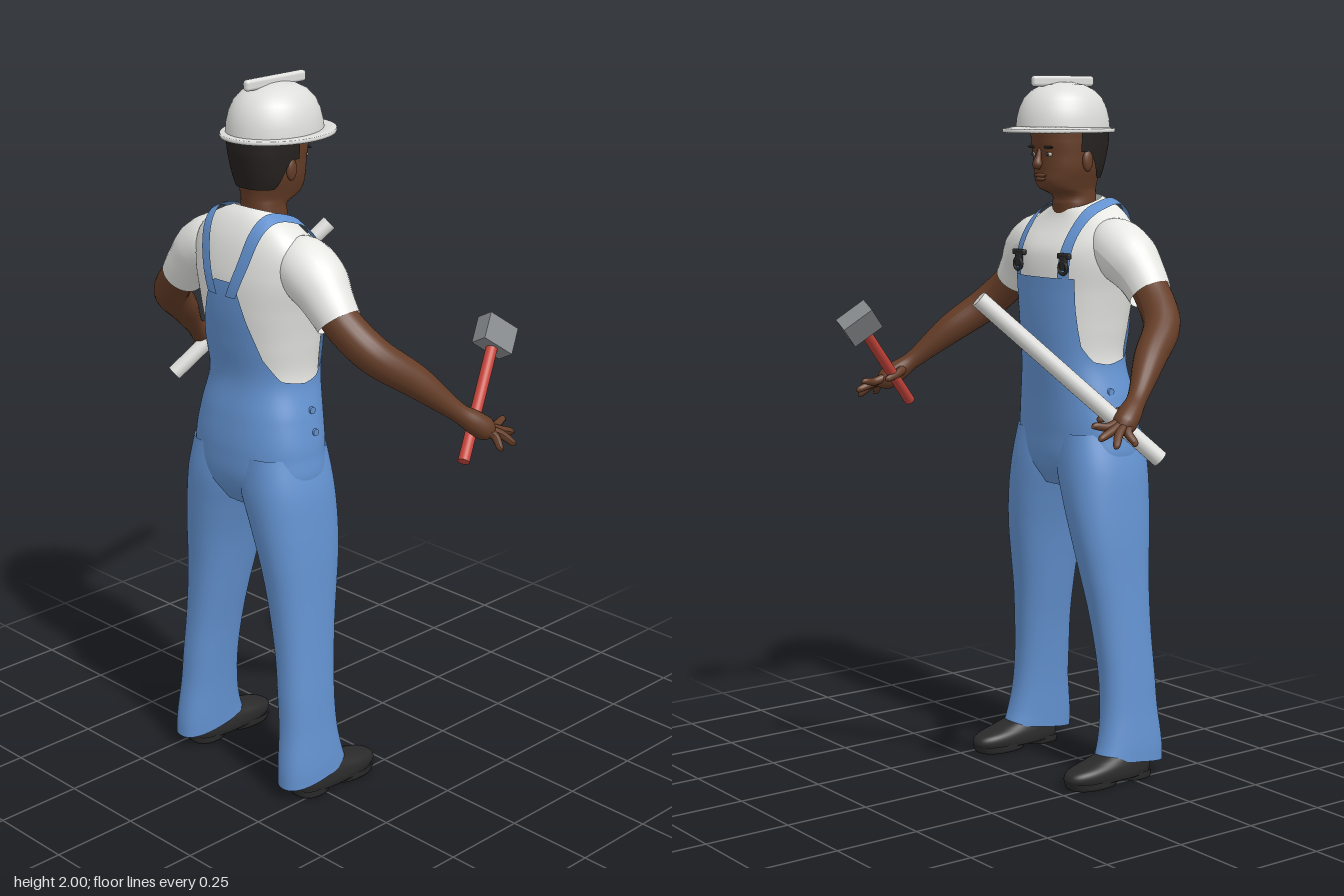
import * as THREE from 'three';
import { ParametricGeometry } from 'three/addons/geometries/ParametricGeometry.js';
import { RoundedBoxGeometry } from 'three/addons/geometries/RoundedBoxGeometry.js';

const V = (x, y, z) => new THREE.Vector3(x, y, z);
const smooth = THREE.MathUtils.smoothstep;
const paint = (name, color, side = THREE.FrontSide) => {
  const m = new THREE.MeshStandardMaterial({ color, side });
  m.name = name;
  return m;
};

// Smooth lookup in a table whose rows are [key, ...values]
function lookup(rows) {
  const n = rows[0].length - 1;
  const cubic = new THREE.CubicInterpolant(rows.map(r => r[0]), rows.flatMap(r => r.slice(1)), n);
  return k => Array.from(cubic.evaluate(k));
}

// Body surface through sections [y, xBack, xFront, zMin, zMax]; angle 0 is the chest side
const POWER = 2.4;
const bulge = c => Math.sign(c) * Math.abs(c) ** (2 / POWER);
function body(rows, slope = () => 0) {
  const at = lookup(rows);
  return (angle, y, grow, target) => {
    const [xb, xf, z0, z1] = at(y);
    const x = (xb + xf) / 2 + ((xf - xb) / 2 + grow) * bulge(Math.cos(angle));
    const z = (z0 + z1) / 2 - ((z1 - z0) / 2 + grow) * bulge(Math.sin(angle));
    return target.set(x, y + slope(y) * (x + 0.24), z);
  };
}
// Skin over a body surface between two heights, optionally closed below
function loft(surface, low, high, { grow = 0, from = -Math.PI, to = Math.PI, cap = false, stacks = 40 } = {}) {
  const geo = new ParametricGeometry((u, v, t) => {
    const a = from + (to - from) * u;
    const row = cap ? Math.max(0, (v * stacks - 1) / (stacks - 1)) : v;
    const y0 = low(a);
    surface(a, y0 + (high(a) - y0) * row, grow, t);
    if (cap && v === 0) {
      const opposite = surface(a + Math.PI, y0, grow, V(0, 0, 0));
      t.add(opposite).multiplyScalar(0.5);
    }
  }, 64, stacks);
  if (cap) geo.computeVertexNormals();
  return geo;
}
const flat = y => () => y;

// Round limb along points [x, y, z, radius]
function limb(points, s = 1, sides = 16, steps = 24) {
  const curve = new THREE.CatmullRomCurve3(points.map(p => V(p[0], p[1], p[2] * s)));
  const geo = new THREE.TubeGeometry(curve, steps, 1, sides);
  const pos = geo.attributes.position, v = V(0, 0, 0);
  const radius = lookup(points.map((p, i) => [i, p[3]]));
  for (let i = 0; i < pos.count; i++) {
    const t = Math.floor(i / (sides + 1)) / steps;
    const centre = curve.getPointAt(t);
    v.fromBufferAttribute(pos, i).sub(centre).multiplyScalar(radius(curve.getUtoTmapping(t) * (points.length - 1))[0]);
    pos.setXYZ(i, centre.x + v.x, centre.y + v.y, centre.z + v.z);
  }
  geo.computeVertexNormals();
  return geo;
}

export function createModel() {
  const man = new THREE.Group();
  man.name = 'worker';
  const skin = paint('brown skin', 0x653d27);
  const shirt = paint('white cotton', 0xe9e9e6, THREE.DoubleSide);
  const denim = paint('blue denim', 0x6392d0, THREE.DoubleSide);
  const shell = paint('helmet white', 0xdededc, THREE.DoubleSide);
  const black = paint('black', 0x2a2a2b);
  const hairPaint = paint('dark hair', 0x25211f, THREE.DoubleSide);
  const red = paint('red', 0xc4443a);
  const steel = paint('grey steel', 0x86898c);
  const eyeWhite = paint('eye white', 0xc9c2ba);
  const add = (name, geo, mat, x = 0, y = 0, z = 0) => {
    const m = new THREE.Mesh(geo, mat);
    m.name = name;
    m.position.set(x, y, z);
    man.add(m);
    return m;
  };
  const blob = (name, mat, x, y, z, rx, ry, rz) =>
    add(name, new THREE.SphereGeometry(1, 20, 14), mat, x, y, z).scale.set(rx, ry, rz);
  const rod = (name, a, b, r, mat) => {
    const m = add(name, new THREE.CylinderGeometry(r, r, a.distanceTo(b), 24), mat);
    m.position.copy(a).lerp(b, 0.5);
    m.quaternion.setFromUnitVectors(V(0, 1, 0), b.clone().sub(a).normalize());
  };

  // Shirt body
  const torsoRows = [
    [0.84, -0.33, -0.16, 0.10], [0.9, -0.368, -0.127, 0.185], [1.0, -0.377, -0.118, 0.192], [1.1, -0.367, -0.112, 0.174],
    [1.2, -0.35, -0.103, 0.15], [1.3, -0.362, -0.098, 0.16], [1.4, -0.372, -0.1, 0.178], [1.5, -0.37, -0.108, 0.2],
    [1.56, -0.355, -0.13, 0.198], [1.6, -0.335, -0.15, 0.165], [1.63, -0.315, -0.165, 0.118], [1.65, -0.298, -0.172, 0.072],
  ].map(([y, b, f, r]) => [y, b, f, -r, r]);
  const torsoSlope = y => -0.3 * smooth(y, 1.5, 1.64);
  const torso = body(torsoRows, torsoSlope);
  add('shirt', loft(torso, flat(1.1), flat(1.65)), shirt);

  // Overalls top: bib in front, low at the sides, rising to a point at the back
  const edge = [[0, 1.44], [40, 1.44], [42, 1.41], [46, 1.34], [56, 1.25], [72, 1.205], [90, 1.195],
    [120, 1.21], [140, 1.27], [158, 1.38], [171, 1.48], [180, 1.48]];
  const bibTop = a => {
    const d = Math.min(180, Math.abs(a) * 180 / Math.PI);
    const i = Math.max(1, edge.findIndex(e => e[0] >= d - 1e-6));
    const [p, q] = [edge[i - 1], edge[i]];
    return p[1] + (q[1] - p[1]) * (d - p[0]) / (q[0] - p[0]);
  };
  add('overallsBody', loft(torso, flat(0.84), bibTop, { grow: 0.007 }), denim);

  // Straps lie on the shirt: search outwards for its surface
  const torsoAt = lookup(torsoRows);
  const inside = (x, y, z) => {
    const h = y - torsoSlope(y) * (x + 0.24);
    if (h > 1.65) return false;
    const [b, f, , r] = torsoAt(h);
    return Math.abs((x - (b + f) / 2) / ((f - b) / 2)) ** POWER + Math.abs(z / r) ** POWER < 1;
  };
  const strapZ = lookup([[0, 0.102], [0.3, 0.108], [0.5, 0.112], [0.75, 0.08], [1, 0.035]]);

  // Trouser leg and shoe sections for the +z side
  const legRows = [
    [0.06, -0.375, -0.15, 0.158, 0.277], [0.1, -0.374, -0.162, 0.156, 0.276], [0.2, -0.36, -0.178, 0.15, 0.267],
    [0.3, -0.355, -0.18, 0.14, 0.26], [0.4, -0.35, -0.172, 0.127, 0.252], [0.5, -0.35, -0.16, 0.108, 0.245],
    [0.6, -0.355, -0.142, 0.088, 0.239], [0.7, -0.365, -0.125, 0.065, 0.234], [0.8, -0.375, -0.115, 0.034, 0.226],
    [0.9, -0.381, -0.114, 0.001, 0.214], [1.0, -0.374, -0.122, 0.0, 0.188],
  ];
  const shoeRows = [
    [0.014, -0.325, -0.04, 0.168, 0.274], [0.03, -0.328, -0.033, 0.164, 0.278], [0.05, -0.328, -0.05, 0.165, 0.277],
    [0.068, -0.326, -0.11, 0.17, 0.272], [0.085, -0.324, -0.16, 0.175, 0.266], [0.12, -0.322, -0.2, 0.18, 0.26],
  ];
  const heelRows = [[0, -0.326, -0.22, 0.175, 0.268], [0.022, -0.328, -0.215, 0.172, 0.27]];
  const soleRows = [[0, -0.2, -0.045, 0.168, 0.274], [0.022, -0.205, -0.036, 0.165, 0.277]];
  const fingers = [[0.062, 1.05, 0.616], [0.12, 1.048, 0.61], [0.146, 1.066, 0.58], [0.145, 1.095, 0.55]];

  for (const [s, side] of [[1, 'right'], [-1, 'left']]) {
    const mirror = rows => rows.map(([y, b, f, i, o]) => s > 0 ? [y, b, f, i, o] : [y, b, f, -o, -i]);
    add(side + 'Trouser', loft(body(mirror(legRows), y => 0.15 * (1 - smooth(y, 0.06, 0.2))), flat(0.06), flat(1.0)), denim);
    add(side + 'Shoe', loft(body(mirror(shoeRows)), flat(0.014), flat(0.12), { cap: true }), black);
    for (const [part, rows] of [['Heel', heelRows], ['Sole', soleRows]])
      add(side + part, loft(body(mirror(rows)), flat(0), flat(0.022), { cap: true, stacks: 4 }), black);

    // Strap, its buckle and the hip buttons
    add(side + 'Strap', new ParametricGeometry((u, v, t) => {
      const z = s * strapZ(v)[0] + (0.5 - u) * 0.036, c = Math.cos(v * Math.PI), k = Math.sin(v * Math.PI);
      let near = 0, far = 0.4;
      for (let i = 0; i < 24; i++) {
        const mid = (near + far) / 2;
        if (inside(-0.24 + c * mid, 1.44 + k * mid, z)) near = mid; else far = mid;
      }
      t.set(-0.24 + c * (near + 0.011), 1.44 + k * (near + 0.011), z);
    }, 6, 60), denim);
    add(side + 'BuckleBar', new RoundedBoxGeometry(0.014, 0.016, 0.056, 2, 0.005), black, -0.109, 1.503, s * 0.104);
    add(side + 'BuckleClip', new RoundedBoxGeometry(0.014, 0.04, 0.026, 2, 0.005), black, -0.107, 1.483, s * 0.104);
    add(side + 'BuckleLoop', new THREE.TorusGeometry(0.017, 0.005, 8, 20), black, -0.104, 1.47, s * 0.104).rotation.y = Math.PI / 2;
    for (const y of [1.12, 1.06])
      add(side + 'HipButton', new THREE.CylinderGeometry(0.01, 0.01, 0.008, 14), denim, -0.22, y, s * (y > 1.1 ? 0.177 : 0.19)).rotation.x = Math.PI / 2;

    // Sleeve, arm and hand
    add(side + 'Sleeve', limb([[-0.24, 1.535, 0.11, 0.055], [-0.242, 1.53, 0.16, 0.08], [-0.245, 1.495, 0.225, 0.082],
      [-0.25, 1.45, 0.272, 0.069], [-0.25, 1.405, 0.31, 0.061]], s, 28), shirt);
    add(side + 'Arm', limb([[-0.25, 1.46, 0.265, 0.05], [-0.248, 1.4, 0.325, 0.052], [-0.215, 1.33, 0.4, 0.051],
      [-0.12, 1.25, 0.463, 0.044], [-0.025, 1.158, 0.525, 0.027], [0.02, 1.122, 0.548, 0.032],
      [0.055, 1.095, 0.563, 0.03], [0.08, 1.08, 0.572, 0.002]], s, 20, 48), skin);
    fingers.forEach(([x, y, z], i) => add(side + 'Finger', limb([[0.025, 1.105 + i * 0.006, 0.567 - i * 0.007, 0.012],
      [0.03 + x * 0.45, 1.098 - (1.1 - y) * 0.3, 0.28 + z * 0.5, 0.012], [x - 0.008, y + 0.006, z - 0.003, 0.009], [x, y, z, 0.001]], s, 10), skin));
    add(side + 'Thumb', limb([[0, 1.135, 0.535, 0.016], [0.045, 1.12, 0.51, 0.013], [0.085, 1.108, 0.502, 0.009], [0.092, 1.106, 0.501, 0.001]], s, 10), skin);

    // Ear, eye and brow
    blob(side + 'Ear', skin, -0.205, 1.765, s * 0.086, 0.017, 0.03, 0.01);
    blob(side + 'Eye', eyeWhite, -0.108, 1.783, s * 0.034, 0.006, 0.006, 0.013);
    blob(side + 'Iris', black, -0.104, 1.783, s * 0.034, 0.004, 0.005, 0.005);
    blob(side + 'Brow', hairPaint, -0.104, 1.803, s * 0.036, 0.006, 0.004, 0.021);
  }

  // Head and neck
  const head = body([
    [1.56, -0.285, -0.165, 0.062], [1.64, -0.285, -0.167, 0.06], [1.67, -0.285, -0.16, 0.058], [1.682, -0.286, -0.125, 0.06],
    [1.7, -0.288, -0.108, 0.066], [1.74, -0.298, -0.104, 0.079], [1.78, -0.308, -0.102, 0.084],
    [1.82, -0.315, -0.096, 0.087], [1.87, -0.31, -0.1, 0.086], [1.92, -0.27, -0.15, 0.06],
  ].map(([y, b, f, r]) => [y, b, f, -r, r]));
  add('head', loft(head, flat(1.56), flat(1.92)), skin);
  const hairLine = a => 1.715 + 0.075 * (1 - smooth(Math.min(a, 2 * Math.PI - a), 1.5, 2.1));
  add('hair', loft(head, hairLine, flat(1.88), { grow: 0.006, from: 1.4, to: 2 * Math.PI - 1.4, stacks: 16 }), hairPaint);
  add('nose', limb([[-0.104, 1.8, 0, 0.006], [-0.097, 1.775, 0, 0.009], [-0.094, 1.753, 0, 0.014], [-0.1, 1.742, 0, 0.003]]), skin);
  blob('upperLip', skin, -0.104, 1.724, 0, 0.01, 0.006, 0.025);
  blob('lowerLip', skin, -0.105, 1.714, 0, 0.01, 0.006, 0.021);

  // Helmet: dome, brim and top ridge
  const lathe = pts => new THREE.LatheGeometry(pts.map(p => new THREE.Vector2(...p)), 56);
  add('helmetDome', lathe([[1, 1.85], [0.985, 1.88], [0.93, 1.91], [0.83, 1.938], [0.67, 1.96], [0.45, 1.975], [0.2, 1.982], [0, 1.984]]),
    shell, -0.184).scale.set(0.14, 1, 0.121);
  add('helmetBrim', lathe([[0.78, 1.845], [0.99, 1.843], [1, 1.848], [0.99, 1.854], [0.78, 1.86], [0.78, 1.845]]),
    shell, -0.17).scale.set(0.17, 1, 0.14);
  add('helmetRidge', new RoundedBoxGeometry(0.214, 0.03, 0.022, 3, 0.009), shell, -0.182, 1.985, 0);

  // Hammer and pipe
  const foot = V(-0.035, 1.028, 0.562), top = V(0.215, 1.28, 0.438);
  rod('hammerHandle', foot, top, 0.016, red);
  const along = top.clone().sub(foot).normalize();
  const across = V(0.76, -0.56, 0.33).addScaledVector(along, -V(0.76, -0.56, 0.33).dot(along)).normalize();
  const hammer = add('hammerHead', new THREE.BoxGeometry(0.1, 0.082, 0.055), steel, 0.225, 1.29, 0.434);
  hammer.quaternion.setFromRotationMatrix(new THREE.Matrix4().makeBasis(across, along, across.clone().cross(along)));
  rod('pipe', V(-0.058, 1.0, -0.582), V(0.363, 1.43, -0.35), 0.023, shell);
  return man;
}
